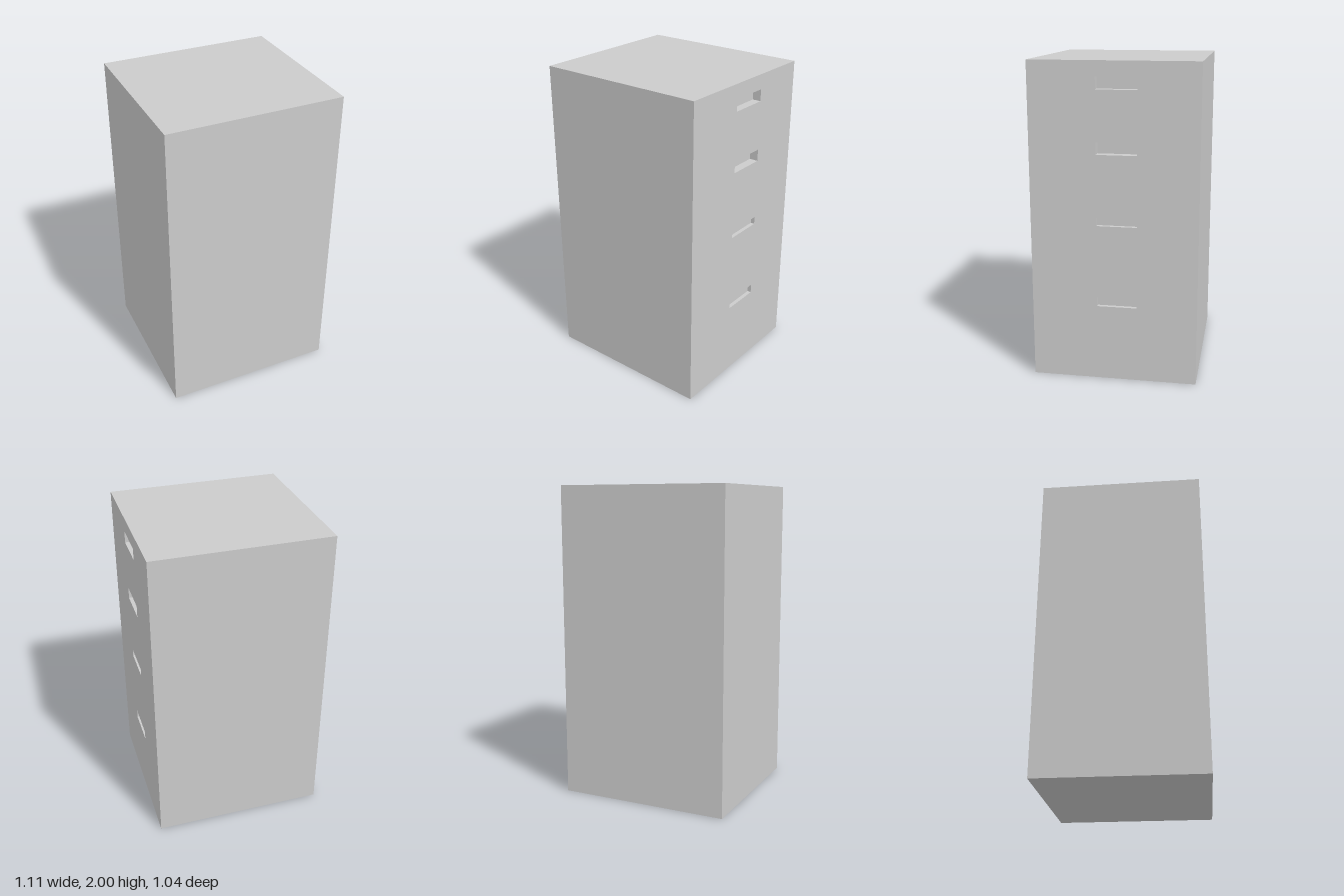
import * as THREE from 'three';

const W = 1.11, H = 2, D = 1.038;

// Box without its +x face; inward = true turns the faces to the inside.
function openBox(w, h, d, inward) {
  const geo = new THREE.BoxGeometry(w, h, d);
  const index = Array.from(geo.index.array).slice(6);
  geo.clearGroups();
  geo.setIndex(inward ? index.reverse() : index);
  geo.computeVertexNormals();
  return geo;
}

export function createModel() {
  const group = new THREE.Group();
  const material = new THREE.MeshStandardMaterial({ color: 0xcccccc });
  const add = (name, geo, x, y, z) => {
    const mesh = new THREE.Mesh(geo, material);
    mesh.name = name;
    mesh.position.set(x, y, z);
    group.add(mesh);
  };

  // Cabinet body, open on the drawer side
  add('cabinetBody', openBox(W, H, D, false), 0, H / 2, 0);

  // Recessed drawer handles: bottom, top, depth
  const slots = [
    [1.832, 1.906, 0.055],
    [1.445, 1.52, 0.055],
    [1.005, 1.054, 0.025],
    [0.485, 0.544, 0.025],
  ];
  const zBack = -0.144, zFront = 0.106;

  // Drawer side with slot openings (shape x runs along -z)
  const side = new THREE.Shape([[-D / 2, 0], [D / 2, 0], [D / 2, H], [-D / 2, H]]
    .map(([x, y]) => new THREE.Vector2(x, y)));
  for (const [bottom, top, depth] of slots) {
    side.holes.push(new THREE.Path([[-zFront, bottom], [-zFront, top], [-zBack, top], [-zBack, bottom]]
      .map(([x, y]) => new THREE.Vector2(x, y))));
    add('handleRecess', openBox(depth, top - bottom, zFront - zBack, true),
      W / 2 - depth / 2, (bottom + top) / 2, (zFront + zBack) / 2);
  }
  add('drawerSide', new THREE.ShapeGeometry(side).rotateY(Math.PI / 2), W / 2, 0, 0);

  return group;
}
